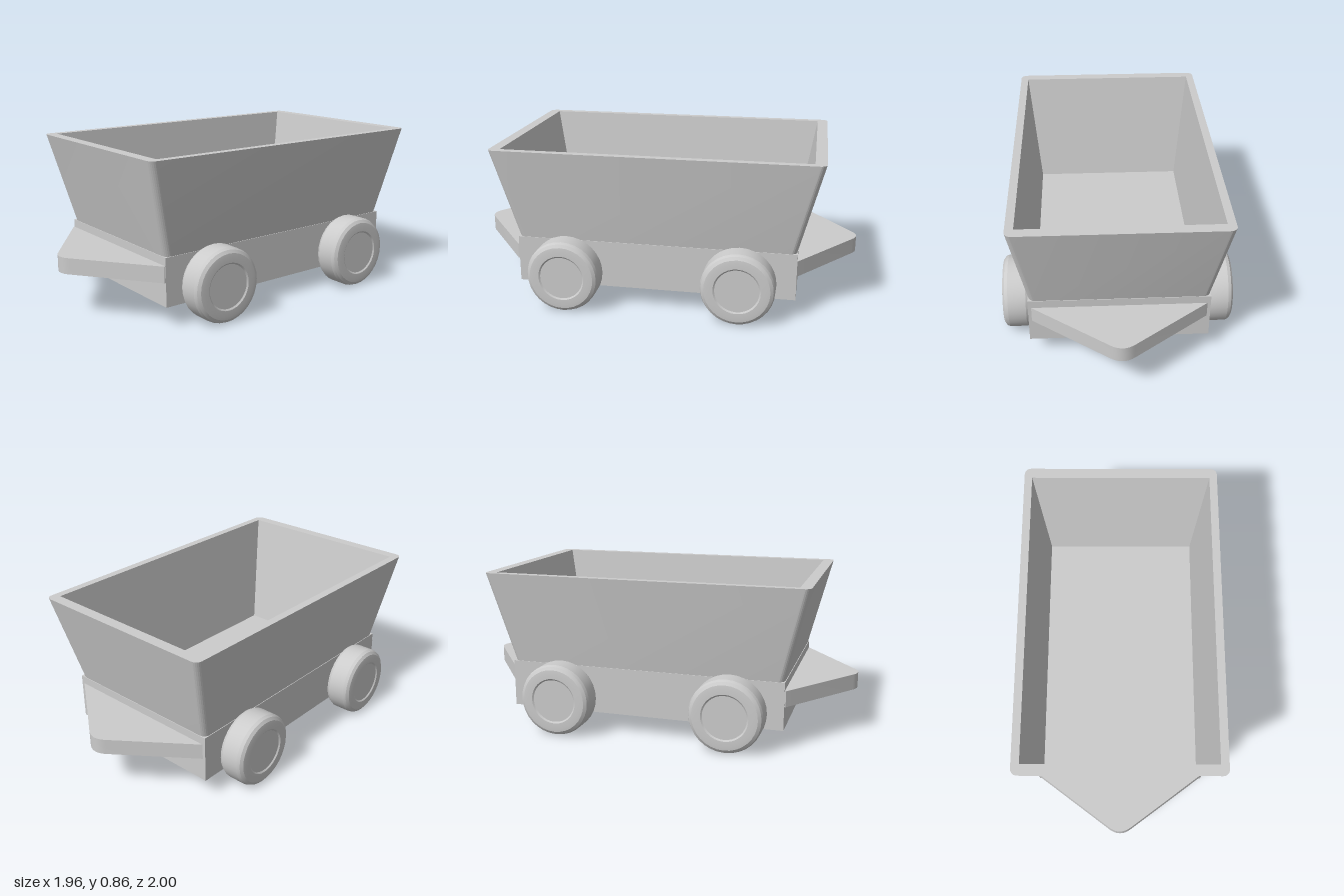
import * as THREE from 'three';
import { toCreasedNormals } from 'three/addons/utils/BufferGeometryUtils.js';

const material = new THREE.MeshStandardMaterial({ color: 0xcccccc });

function part(name, geometry) {
  const mesh = new THREE.Mesh(geometry, material);
  mesh.name = name;
  return mesh;
}

// Rounded rectangle as a counter-clockwise list of points, seen from above
function ring(halfL, halfW, radius = 0, steps = 0) {
  const points = [];
  [[1, 1], [-1, 1], [-1, -1], [1, -1]].forEach(([sx, sy], corner) => {
    for (let i = 0; i <= steps; i++) {
      const a = (corner + (steps ? i / steps : 0)) * Math.PI / 2;
      points.push(new THREE.Vector2(
        sx * (halfL - radius) + radius * Math.cos(a),
        sy * (halfW - radius) + radius * Math.sin(a)));
    }
  });
  return points;
}

// Flat outline with a hole
function frame(outer, inner) {
  const shape = new THREE.Shape(outer);
  shape.holes.push(new THREE.Path(inner));
  return shape;
}

// Skin between rings at given heights, optionally closing the last one
function loft(levels, closeLast) {
  const n = levels[0].points.length;
  const positions = [];
  const index = [];
  for (const { points, y } of levels) for (const p of points) positions.push(p.x, y, -p.y);
  for (let k = 0; k < levels.length - 1; k++) {
    for (let i = 0; i < n; i++) {
      const a = k * n + i, b = k * n + (i + 1) % n;
      index.push(a, b, b + n, a, b + n, a + n);
    }
  }
  if (closeLast) {
    const s = (levels.length - 1) * n;
    for (let i = 1; i < n - 1; i++) index.push(s, s + i, s + i + 1);
  }
  const geometry = new THREE.BufferGeometry();
  geometry.setAttribute('position', new THREE.Float32BufferAttribute(positions, 3));
  geometry.setIndex(index);
  return toCreasedNormals(geometry, 0.2);
}

export function createModel() {
  const model = new THREE.Group();
  model.name = 'hopperWagon';

  // Chassis: a frame around the deep hopper, closed by a bottom slab
  const well = ring(0.735, 0.458);
  const chassis = part('chassisFrame', new THREE.ExtrudeGeometry(
    frame(ring(0.754, 0.469), well), { depth: 0.255, bevelEnabled: false })
    .rotateX(-Math.PI / 2));
  chassis.position.y = 0.108;
  const slab = part('chassisBottom', new THREE.BoxGeometry(1.47, 0.1, 0.916));
  slab.position.y = 0.158;
  model.add(chassis, slab);

  // Flared hopper: outer walls, flat rim, inner walls with floor
  const top = 0.858;
  const outerTop = ring(0.875, 0.545, 0.035, 6);
  const innerTop = ring(0.816, 0.502);
  const hopper = new THREE.Group();
  hopper.name = 'hopper';
  hopper.add(part('outerWalls', loft([
    { points: ring(0.75, 0.465, 0.035, 6), y: 0.36 },
    { points: outerTop, y: top },
  ])));
  const rim = part('rim',
    new THREE.ShapeGeometry(frame(outerTop, innerTop)).rotateX(-Math.PI / 2));
  rim.position.y = top;
  hopper.add(rim);
  hopper.add(part('innerWalls', loft([
    { points: innerTop, y: top },
    { points: ring(0.705, 0.437), y: 0.22 },
  ], true)));
  model.add(hopper);

  // Running gear sits slightly off the middle of the hopper
  const gear = new THREE.Group();
  gear.name = 'runningGear';
  gear.position.x = -0.009;
  model.add(gear);

  // Pointed buffer plates with a rounded tip, one at each end
  const plate = new THREE.Shape();
  plate.moveTo(0.742, -0.467);
  plate.lineTo(0.752, -0.467);
  plate.lineTo(1.052, -0.06);
  plate.quadraticCurveTo(1.096, 0, 1.052, 0.06);
  plate.lineTo(0.752, 0.467);
  plate.lineTo(0.742, 0.467);
  plate.closePath();
  const plateGeometry = toCreasedNormals(
    new THREE.ExtrudeGeometry(plate, { depth: 0.085, bevelEnabled: false, curveSegments: 10 })
      .rotateX(-Math.PI / 2), 0.4);
  for (const end of [1, -1]) {
    const buffer = part(end > 0 ? 'frontBuffer' : 'rearBuffer', plateGeometry);
    buffer.position.y = 0.235;
    if (end < 0) buffer.rotation.y = Math.PI;
    gear.add(buffer);
  }

  // Wheels with chamfered tread edges and a thin step around the hub
  const profile = [
    [0, 0], [0.17, 0], [0.187, 0.008], [0.195, 0.024], [0.195, 0.118],
    [0.188, 0.135], [0.172, 0.146], [0.155, 0.148], [0.124, 0.148],
    [0.116, 0.142], [0, 0.142],
  ].map(([r, h]) => new THREE.Vector2(r, h));
  const wheelGeometry = toCreasedNormals(
    new THREE.LatheGeometry(profile, 32).rotateX(Math.PI / 2), 0.35);
  for (const x of [-0.467, 0.467]) {
    for (const side of [1, -1]) {
      const wheel = part('wheel', wheelGeometry);
      wheel.position.set(x, 0.195, side * 0.465);
      if (side < 0) wheel.rotation.y = Math.PI;
      gear.add(wheel);
    }
  }

  // The wagon stands diagonally
  model.rotation.y = THREE.MathUtils.degToRad(47.5);
  const root = new THREE.Group();
  root.name = 'wagon';
  root.add(model);
  return root;
}
